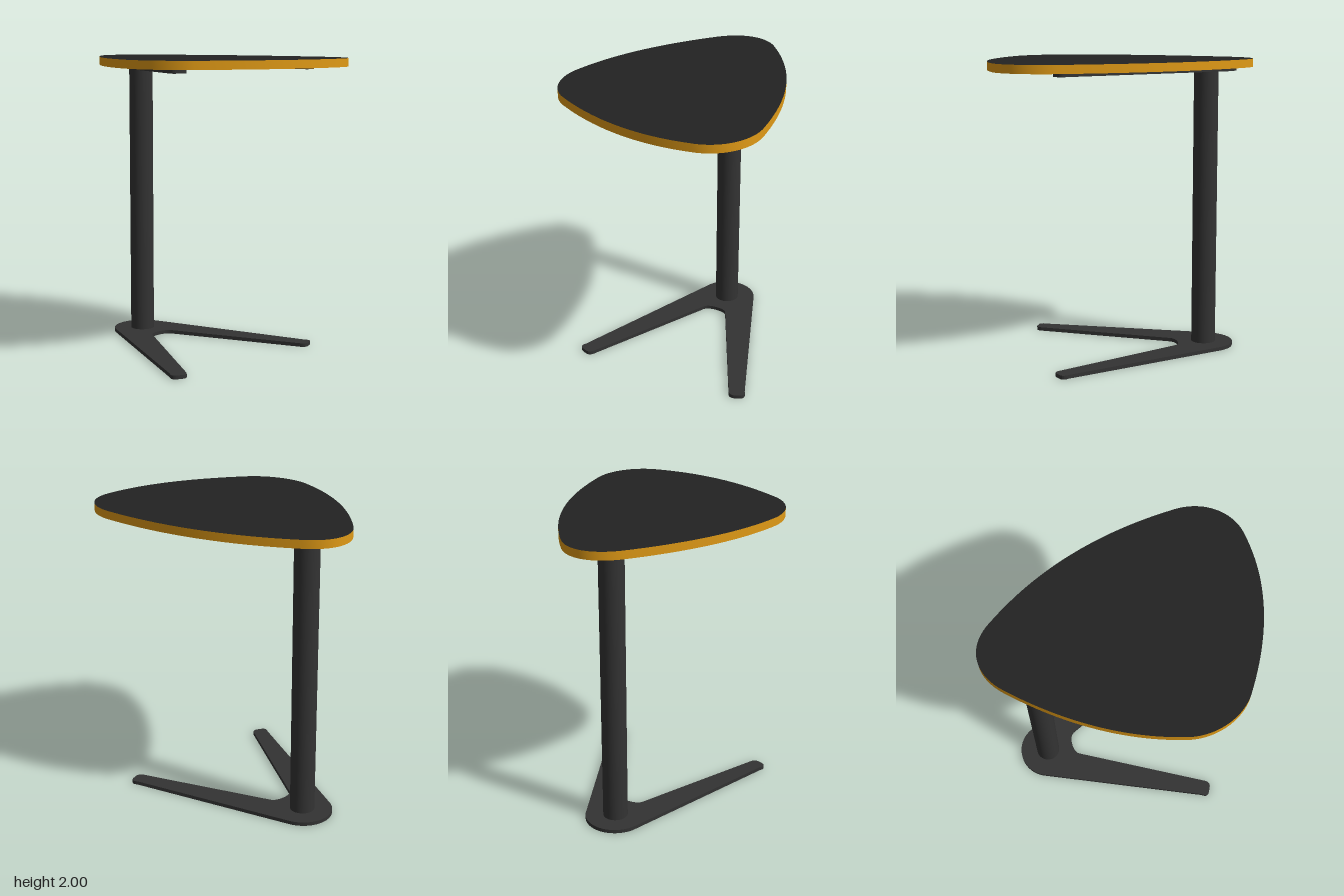
import * as THREE from 'three';
import { toCreasedNormals } from 'three/addons/utils/BufferGeometryUtils.js';

const POLE_X = 0.0125, POLE_Z = -0.595;

// Flat slab from an outline drawn in (x, z), its upper face at height top
function slab(name, shape, top, depth, materials) {
  const flat = new THREE.ExtrudeGeometry(shape, { depth, bevelEnabled: false, curveSegments: 24 });
  flat.rotateX(Math.PI / 2);
  flat.translate(0, top, 0);
  const mesh = new THREE.Mesh(toCreasedNormals(flat, 0.5), materials);
  mesh.name = name;
  return mesh;
}

// Lopsided rounded triangle: three soft corners joined by bowed sides
function tabletopShape() {
  const s = new THREE.Shape();
  s.moveTo(-0.19, -0.79);
  s.bezierCurveTo(-0.05, -0.943, 0.13, -0.943, 0.25, -0.79);
  s.quadraticCurveTo(0.675, -0.26, 0.737, 0.5);
  s.bezierCurveTo(0.755, 0.7, 0.63, 0.867, 0.45, 0.885);
  s.quadraticCurveTo(-0.04, 0.96, -0.57, 0.63);
  s.bezierCurveTo(-0.7, 0.545, -0.77, 0.36, -0.735, 0.2);
  s.quadraticCurveTo(-0.62, -0.32, -0.19, -0.79);
  return s;
}

// V-shaped plate: round hub with two tapering arms reaching forward
function forkShape() {
  const s = new THREE.Shape();
  const a = THREE.MathUtils.degToRad(21.5);
  s.absarc(0, 0, 0.203, Math.PI + a, 2 * Math.PI - a, false);
  // left arm, outer edge to notch
  s.lineTo(0.62, 1.035);
  s.quadraticCurveTo(0.65, 1.075, 0.615, 1.095);
  s.lineTo(0.58, 1.11);
  s.quadraticCurveTo(0.54, 1.125, 0.52, 1.075);
  s.lineTo(0.09, 0.22);
  s.quadraticCurveTo(0.07, 0.185, 0, 0.185);
  // right arm, notch to outer edge
  s.quadraticCurveTo(-0.07, 0.185, -0.09, 0.22);
  s.lineTo(-0.52, 1.075);
  s.quadraticCurveTo(-0.54, 1.125, -0.58, 1.11);
  s.lineTo(-0.615, 1.095);
  s.quadraticCurveTo(-0.65, 1.075, -0.62, 1.035);
  s.closePath();
  return s;
}

export function createModel() {
  const group = new THREE.Group();
  group.name = 'sideTable';
  const black = new THREE.MeshStandardMaterial({ color: 0x222222 });
  const edge = new THREE.MeshStandardMaterial({ color: 0xe09a16 });
  const metal = new THREE.MeshStandardMaterial({ color: 0x333333 });

  // Dark faces with a warm wooden rim
  group.add(slab('tabletop', tabletopShape(), 2, 0.055, [black, edge]));

  // Matching plates under the top and on the floor
  for (const [name, top] of [['topBracket', 1.945], ['base', 0.025]]) {
    const plate = slab(name, forkShape(), top, 0.025, metal);
    plate.position.set(POLE_X, 0, POLE_Z);
    group.add(plate);
  }

  // Column
  const column = new THREE.Mesh(new THREE.CylinderGeometry(0.083, 0.083, 1.895, 48), metal);
  column.name = 'column';
  column.position.set(POLE_X, 0.025 + 1.895 / 2, POLE_Z);
  group.add(column);

  return group;
}
